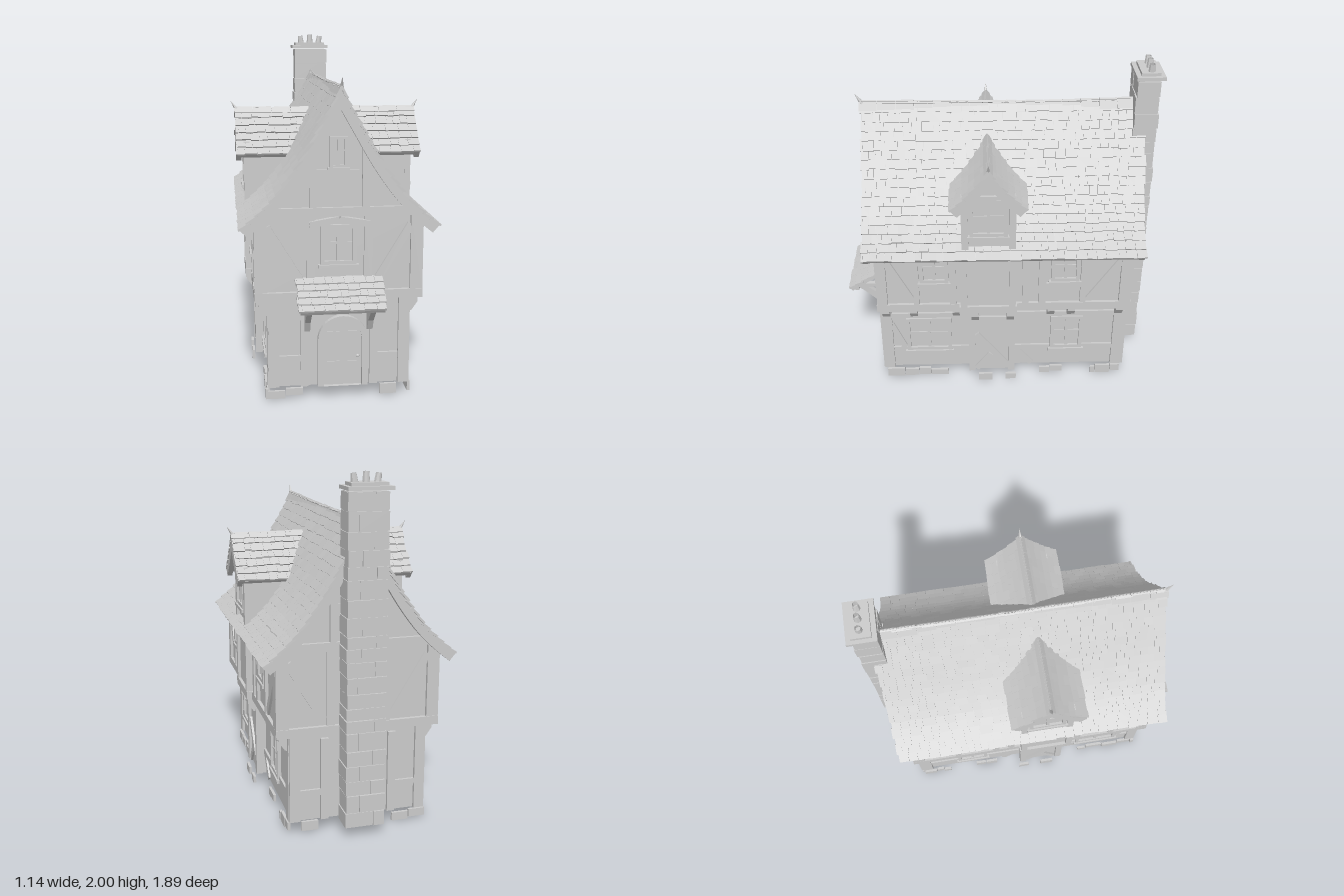
import * as THREE from 'three';
import { mergeGeometries } from 'three/addons/utils/BufferGeometryUtils.js';

const grey = new THREE.MeshStandardMaterial({ color: 0xcccccc, flatShading: true, side: THREE.DoubleSide });
grey.name = 'plain grey';
let seed = 7;
const rnd = () => (seed = (seed * 16807) % 2147483647) / 2147483647;
const v2 = (x, y) => new THREE.Vector2(x, y);

function add(parent, name, geo, x = 0, y = 0, z = 0) {
  const m = new THREE.Mesh(geo, grey);
  m.name = name;
  m.position.set(x, y, z);
  parent.add(m);
  return m;
}
function group(parent, name, x = 0, y = 0, z = 0, turn = 0) {
  const g = new THREE.Group();
  g.name = name;
  g.position.set(x, y, z);
  g.rotation.y = turn;
  parent.add(g);
  return g;
}
const box = (w, h, d, x, y, z) => new THREE.BoxGeometry(w, h, d).translate(x, y, z);
const extrude = (shape, depth) => new THREE.ExtrudeGeometry(shape, { depth, bevelEnabled: false, curveSegments: 10 });

// Straight timber on a wall face, from (u0,v0) to (u1,v1)
function beam(face, name, u0, v0, u1, v1, w = 0.05, t = 0.018) {
  const m = add(face, name, new THREE.BoxGeometry(Math.hypot(u1 - u0, v1 - v0), w, t * 2), (u0 + u1) / 2, (v0 + v1) / 2, 0);
  m.rotation.z = Math.atan2(v1 - v0, u1 - u0);
}
function casement(face, u, v, w, h) {
  const g = group(face, 'window', u, v);
  const x = w / 2, y = h / 2, f = Math.min(0.022, w * 0.16);
  add(g, 'pane', new THREE.BoxGeometry(w, h, 0.008), 0, 0, 0.002);
  for (const s of [-1, 1]) {
    beam(g, 'windowJamb', s * (x - f / 2), -y, s * (x - f / 2), y, f, 0.022);
    beam(g, 'windowRail', -x, s * (y - f / 2), x, s * (y - f / 2), f, 0.02);
  }
  beam(g, 'mullion', 0, -y, 0, y, f * 0.8, 0.015);
  beam(g, 'transom', -x, 0.01, x, 0.01, f * 0.5, 0.012);
  beam(g, 'windowSill', -x - 0.012, -y - 0.008, x + 0.012, -y - 0.008, 0.02, 0.03);
}

// Roof slope: falls along local +x, courses run along local z
function band(pts, t) {
  const low = pts.map((p, i) => {
    const a = pts[Math.max(i - 1, 0)], b = pts[Math.min(i + 1, pts.length - 1)];
    const d = b.clone().sub(a).normalize();
    return i ? v2(p.x + d.y * t, p.y - d.x * t) : v2(0, p.y - t * 1.6);
  });
  return new THREE.Shape([...pts, ...low.reverse()]);
}
function slope(g, pts, rows, range, boards) {
  const P = new THREE.SplineCurve(pts).getSpacedPoints(rows), parts = [];
  for (let i = 0; i < rows; i++) {
    const A = P[i], B = P[i + 1], L = A.distanceTo(B), angle = Math.atan2(B.y - A.y, B.x - A.x);
    let [z, end] = range(A.y);
    z += (rnd() - 0.5) * 0.012;
    end += (rnd() - 0.5) * 0.012;
    while (z < end - 0.006) {
      const w = Math.min(0.035 + rnd() * 0.045, end - z);
      const tile = new THREE.BoxGeometry(L * 1.08 + rnd() * 0.016, 0.012, w - 0.001);
      tile.rotateY((rnd() - 0.5) * 0.08).rotateZ(angle + 0.13 + rnd() * 0.06);
      parts.push(tile.translate((A.x + B.x) / 2, (A.y + B.y) / 2 - 0.001, z + w / 2));
      z += w;
    }
  }
  add(g, 'tiles', mergeGeometries(parts));
  const [a, b] = range(P[rows].y);
  add(g, 'roofDeck', extrude(band(P.map(p => v2(p.x, p.y - 0.005)), 0.022), b - a - 0.02), 0, 0, a + 0.01);
  for (const z of boards) add(g, 'bargeBoard', extrude(band(P, 0.055), 0.03), 0, 0, z - 0.015);
}
// Folded ridge caps along local z, with an upturned horn at the far end
function ridge(g, y, a, b, w, pitch, sag = 0) {
  const n = Math.round((b - a) / 0.11), step = (b - a) / n, parts = [];
  for (let i = 0; i < n; i++) {
    const t = (i + 0.5) / n * 2 - 1, lift = rnd() * 0.005 + sag * (t * t - 1);
    for (const k of [-1, 1]) {
      const cap = box(w, 0.012, step - 0.003, w / 2, -0.004, 0).rotateZ(-pitch);
      if (k < 0) cap.rotateY(Math.PI);
      parts.push(cap.translate(0, y + lift, a + (i + 0.5) * step));
    }
  }
  add(g, 'ridgeCaps', mergeGeometries(parts));
  add(g, 'ridgeHorn', new THREE.ConeGeometry(0.014, 0.075, 5), 0, y + 0.012, b).rotation.x = 0.6;
}

const ROOF = [[0, 1.742], [0.06, 1.63], [0.12, 1.525], [0.2, 1.385], [0.275, 1.27], [0.36, 1.16], [0.45, 1.07], [0.54, 0.995]].map(p => v2(...p));
const DORMER = [[0, 1.565], [0.07, 1.475], [0.14, 1.395], [0.215, 1.325]].map(p => v2(...p));
const PORCH = [[0, 0.7], [0.07, 0.66], [0.14, 0.615], [0.2, 0.575]].map(p => v2(...p));
function roofX(y) {
  const i = Math.max(1, ROOF.findIndex(p => p.y <= y)), a = ROOF[i - 1], b = ROOF[i];
  return a.x + (b.x - a.x) * (a.y - y) / (a.y - b.y);
}

function archShape(w, h) {
  const s = new THREE.Shape();
  s.moveTo(-w, 0).lineTo(w, 0).lineTo(w, h - w).absarc(0, h - w, w, 0, Math.PI, false).lineTo(-w, 0);
  return s;
}

// Front and back: gabled plaster wall with timbers
function endWall(house, name, z, turn) {
  const face = group(house, name, 0, 0, z, turn);
  const edge = ROOF.slice(0, 7).map(p => v2(p.x, p.y - 0.03));
  const gable = new THREE.Shape([v2(-0.45, 0.6), v2(0.45, 0.6), ...edge.slice().reverse(), ...edge.slice(1).map(p => v2(-p.x, p.y))]);
  add(face, 'gableWall', new THREE.ShapeGeometry(gable));
  add(face, 'groundWall', new THREE.PlaneGeometry(0.765, 0.54), 0, 0.34, 0);
  beam(face, 'floorBeam', -0.468, 0.597, 0.468, 0.597, 0.05, 0.022);
  beam(face, 'tieBeam', -0.42, 1.068, 0.42, 1.068, 0.05, 0.02);
  beam(face, 'collarBeam', -0.16, 1.285, 0.16, 1.285, 0.03, 0.014);
  for (const s of [-1, 1]) {
    beam(face, 'groundPost', s * 0.365, 0.07, s * 0.365, 0.58, 0.06);
    beam(face, 'groundStud', s * 0.195, 0.07, s * 0.195, 0.55, 0.045);
    beam(face, 'groundRail', s * 0.19, 0.235, s * 0.36, 0.235, 0.035, 0.014);
    beam(face, 'upperPost', s * 0.432, 0.6, s * 0.432, 1.04, 0.07);
    beam(face, 'upperStud', s * 0.16, 0.62, s * 0.16, 1.05, 0.045, 0.015);
    beam(face, 'brace', s * 0.4, 0.99, s * 0.2, 0.66, 0.045, 0.015);
    beam(face, 'gableStud', s * 0.145, 1.08, s * 0.145, 1.43, 0.04);
  }
  return face;
}

// Long sides: jettied upper floor, with a shallow projecting bay under the dormer
function sideWall(house, s) {
  const side = group(house, s > 0 ? 'leftSide' : 'rightSide');
  const face = (name, x) => group(side, name, s * x, 0, 0, s * Math.PI / 2);
  const up = face('upperFloor', 0.45), low = face('groundFloor', 0.382);
  const bayUp = face('upperBay', 0.482), bayLow = face('groundBay', 0.427);
  const U = z => -s * z;
  const posts = (f, v0, v1, list) => list.forEach(([z, w]) => beam(f, 'post', U(z), v0, U(z), v1, w));
  add(up, 'upperWall', new THREE.PlaneGeometry(1.495, 0.45), U(-0.022), 0.815, 0);
  add(low, 'groundWall', new THREE.PlaneGeometry(1.495, 0.54), U(-0.022), 0.34, 0);
  add(bayUp, 'bayWall', box(0.325, 0.45, 0.06, U(0.075), 0.815, -0.03));
  add(bayLow, 'bayWall', box(0.275, 0.52, 0.06, U(0.055), 0.33, -0.03));
  add(up, 'jettyBeam', box(1.52, 0.05, 0.085, U(-0.02), 0.597, -0.024));
  add(bayUp, 'jettyBeam', box(0.345, 0.05, 0.08, U(0.075), 0.597, -0.022));
  beam(up, 'wallPlate', U(0.735), 0.995, U(-0.775), 0.995, 0.04);
  posts(up, 0.62, 1.0, [[0.71, 0.06], [0.505, 0.035], [0.285, 0.04], [-0.15, 0.04], [-0.25, 0.045], [-0.495, 0.035], [-0.745, 0.06]]);
  posts(bayUp, 0.62, 1.03, [[0.22, 0.04], [-0.07, 0.04]]);
  for (const z of [0.395, -0.385]) casement(up, U(z), 0.88, 0.17, 0.2);
  beam(up, 'brace', U(0.69), 0.96, U(0.53), 0.64, 0.042, 0.014);
  beam(up, 'brace', U(-0.74), 0.96, U(-0.53), 0.64, 0.042, 0.014);
  beam(up, 'rail', U(0.51), 0.75, U(0.27), 0.75, 0.03, 0.014);
  beam(up, 'rail', U(-0.25), 0.75, U(-0.5), 0.75, 0.03, 0.014);
  posts(low, 0.07, 0.58, [[0.705, 0.065], [-0.74, 0.065]]);
  posts(bayLow, 0.07, 0.58, [[0.178, 0.04], [-0.07, 0.04]]);
  beam(low, 'headRail', U(0.735), 0.48, U(-0.775), 0.48, 0.035, 0.014);
  beam(bayLow, 'headRail', U(0.19), 0.48, U(-0.08), 0.48, 0.035, 0.014);
  beam(low, 'rail', U(0.7), 0.215, U(0.19), 0.215, 0.035, 0.013);
  beam(low, 'rail', U(-0.08), 0.215, U(-0.74), 0.215, 0.035, 0.013);
  beam(bayLow, 'brace', U(0.15), 0.36, U(-0.05), 0.1, 0.04, 0.014);
  beam(bayLow, 'brace', U(0.15), 0.08, U(0.06), 0.2, 0.035, 0.012);
  beam(low, 'brace', U(-0.1), 0.2, U(-0.2), 0.08, 0.035, 0.012);
  beam(low, 'brace', U(0.68), 0.42, U(0.6), 0.23, 0.035, 0.012);
  casement(low, U(0.445), 0.335, 0.28, 0.25);
  casement(low, U(-0.415), 0.335, 0.2, 0.25);
  const bracket = new THREE.Shape([v2(0, 0.48), v2(0.03, 0.49), v2(0.065, 0.54), v2(0.065, 0.575), v2(0, 0.575)]);
  for (const [f, list] of [[low, [0.7, 0.53, 0.27, -0.31, -0.435, -0.73]], [bayLow, [0.155, -0.06]]])
    for (const z of list) add(f, 'corbel', extrude(bracket, 0.045).rotateY(-Math.PI / 2), U(z) + 0.022, 0, 0);
}

function dormer(house, s) {
  const d = group(house, 'dormer', 0, 0, 0.07, s > 0 ? 0 : Math.PI);
  const body = new THREE.Shape([v2(-0.155, 1.0), v2(0.155, 1.0), v2(0.155, 1.35), v2(0, 1.53), v2(-0.155, 1.35)]);
  add(d, 'dormerBody', extrude(body, 0.282).rotateY(Math.PI / 2), 0.2, 0, 0);
  const face = group(d, 'dormerFront', 0.482, 0, 0, Math.PI / 2);
  casement(face, 0, 1.245, 0.22, 0.24);
  for (const k of [-1, 1]) {
    beam(face, 'dormerPost', k * 0.137, 1.0, k * 0.137, 1.35, 0.04);
    const g = group(d, 'dormerSlope', 0, 0, 0, -k * Math.PI / 2);
    slope(g, DORMER, 6, y => k > 0 ? [-0.545, -roofX(y) + 0.015] : [roofX(y) - 0.015, 0.545], [-k * 0.53]);
  }
  beam(face, 'dormerSill', -0.165, 1.015, 0.165, 1.015, 0.04);
  beam(face, 'dormerHead', -0.155, 1.375, 0.155, 1.375, 0.03);
  ridge(group(d, 'dormerRidge', 0, 0, 0, Math.PI / 2), 1.578, 0.1, 0.55, 0.04, 0.9);
}

function chimney(house) {
  const g = group(house, 'chimney', 0, 0, -0.85);
  const parts = [box(0.215, 1.83, 0.12, 0, 0.985, 0)];
  for (let y = 0.06, i = 0; y < 1.87; i++) {
    const h = Math.min(0.065 + rnd() * 0.04, 1.9 - y), cut = (i % 2 ? 0.04 : -0.04) + (rnd() - 0.5) * 0.03;
    for (const [a, b] of [[-0.114, cut], [cut, 0.114]])
      parts.push(box(b - a - 0.004, h - 0.006, 0.13 + rnd() * 0.012, (a + b) / 2 + (rnd() - 0.5) * 0.008, y + h / 2, (rnd() - 0.5) * 0.006));
    y += h;
  }
  add(g, 'stonework', mergeGeometries(parts));
  add(g, 'chimneyCap', box(0.245, 0.02, 0.165, -0.004, 1.917, -0.01));
  add(g, 'chimneyCrown', box(0.2, 0.02, 0.11, -0.004, 1.935, -0.01));
  [-0.062, 0.002, 0.066].forEach((x, i) => {
    const pot = add(g, 'chimneyPot', new THREE.CylinderGeometry(0.016, 0.022, 0.06, 8, 1, true), x, i === 1 ? 1.968 : 1.96, -0.015);
    pot.rotation.z = (i - 1) * -0.12;
  });
}

function entrance(face) {
  const door = group(face, 'entrance', 0.02, 0.07, 0);
  const frame = archShape(0.14, 0.41);
  frame.holes.push(archShape(0.108, 0.375));
  add(door, 'doorFrame', extrude(frame, 0.05), 0, 0, -0.018);
  add(door, 'door', extrude(archShape(0.108, 0.375), 0.022), 0, 0, -0.014);
  for (const x of [-0.052, 0.052]) for (const [y, h] of [[0.085, 0.11], [0.245, 0.14]])
    add(door, 'doorPanel', box(0.07, h, 0.01, x, y, 0.009));
  add(door, 'doorHandle', new THREE.SphereGeometry(0.01, 8, 6), 0.085, 0.17, 0.018);
  // Small tiled canopy on curved brackets
  const porch = group(face, 'porch', -0.004, 0, 0.012);
  slope(group(porch, 'porchRoof', 0, 0, 0, -Math.PI / 2), PORCH, 5, () => [-0.238, 0.238], []);
  const arm = new THREE.Shape([v2(-0.01, 0.39), v2(0.02, 0.4), v2(0.05, 0.46), v2(0.13, 0.535), v2(0.17, 0.56), v2(0.14, 0.59), v2(0.03, 0.5), v2(-0.01, 0.55)]);
  for (const x of [-0.175, 0.175]) {
    add(porch, 'porchBracket', extrude(arm, 0.03).rotateY(-Math.PI / 2), x + 0.015, 0, 0);
    add(porch, 'porchArm', box(0.03, 0.025, 0.17, x, 0.565, 0.08));
  }
  add(porch, 'porchBeam', box(0.44, 0.025, 0.025, 0, 0.565, 0.16));
}

// Loose footing stones below the walls
function footing(house) {
  const g = group(house, 'footingStones'), parts = [];
  const run = (a, b, place) => {
    for (let t = a; t < b - 0.02;) {
      const w = Math.min(0.05 + rnd() * 0.07, b - t), h = 0.035 + rnd() * 0.025;
      parts.push(place(t + w / 2, w - 0.004, h, h / 2 + rnd() * (0.065 - h)));
      t += w;
    }
  };
  for (const s of [-1, 1]) {
    for (const [a, b, x] of [[0.33, 0.74, 0.395], [0.05, 0.14, 0.45], [-0.1, -0.03, 0.45], [-0.4, -0.25, 0.395], [-0.77, -0.58, 0.395]])
      run(a, b, (t, w, h, y) => box(0.016, h, w, s * (x + rnd() * 0.012), y, t));
    for (const [a, b] of [[-0.4, -0.2], [0.23, 0.33]])
      run(a, b, (t, w, h, y) => box(w, h, 0.016, t, y, s > 0 ? 0.735 : -0.775));
  }
  parts[0].translate(0, -parts[0].attributes.position.getY(2), 0);
  add(g, 'stones', mergeGeometries(parts));
}

export function createModel() {
  const house = new THREE.Group();
  house.name = 'timberHouse';
  const front = endWall(house, 'frontWall', 0.725, 0);
  endWall(house, 'backWall', -0.77, Math.PI);
  casement(front, -0.005, 0.885, 0.2, 0.225);
  beam(front, 'windowHood', -0.165, 1.0, 0, 1.028, 0.035, 0.03);
  beam(front, 'windowHood', 0, 1.028, 0.165, 1.0, 0.035, 0.03);
  casement(front, -0.005, 1.395, 0.095, 0.17);
  entrance(front);
  for (const s of [-1, 1]) {
    sideWall(house, s);
    dormer(house, s);
    const g = group(house, s > 0 ? 'leftRoof' : 'rightRoof', 0, 0, 0, s > 0 ? 0 : Math.PI);
    slope(g, ROOF, 17, y => {
      const back = -0.84 - 0.025 * Math.max(0, (y - 1) / 0.75);
      return s > 0 ? [back, 0.805] : [-0.805, -back];
    }, [s * 0.785, s * -0.82]);
  }
  ridge(group(house, 'mainRidge'), 1.757, -0.8, 0.815, 0.065, 1.08, 0.012);
  chimney(house);
  footing(house);
  return house;
}
